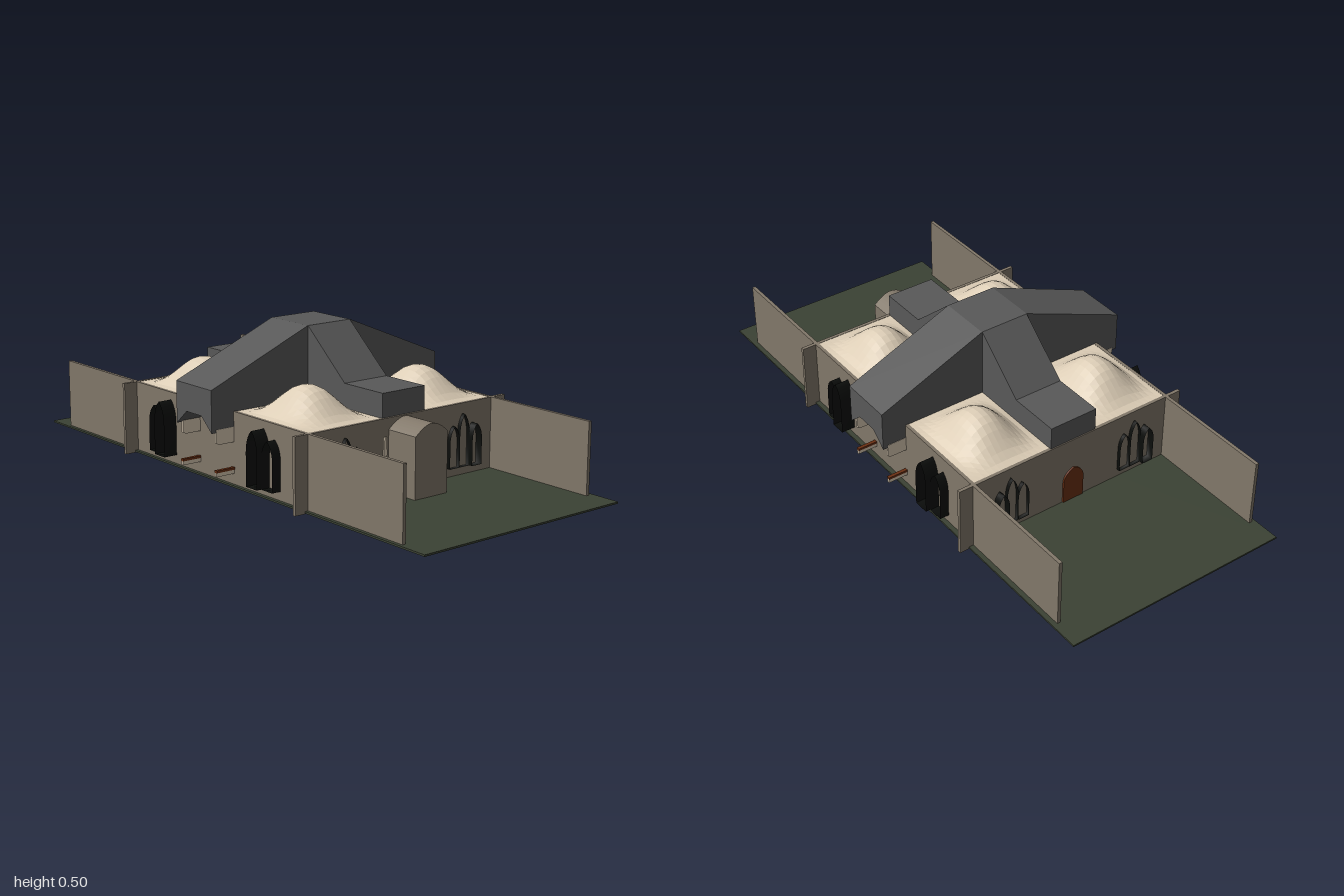
import * as THREE from 'three';

const mat = (name, color, extra = {}) => Object.assign(new THREE.MeshStandardMaterial({ color, ...extra }), { name });

export function createModel() {
  const model = new THREE.Group();
  model.name = 'vaultedHall';
  const stone = mat('wallStone', 0x82786a);
  const slate = mat('roofSlate', 0x595959);
  const cream = mat('paleStone', 0xdccdb6, { flatShading: true, side: THREE.DoubleSide });
  const grass = mat('darkGrass', 0x3b4234);
  const black = mat('blackFrame', 0x0b0d0b, { side: THREE.DoubleSide });
  const wood = mat('redWood', 0x6b3013);

  const add = (name, geometry, material, parent = model) => {
    const mesh = new THREE.Mesh(geometry, material);
    mesh.name = name;
    parent.add(mesh);
    return mesh;
  };
  // box given by its lower and upper limits on each axis
  const box = (name, material, x0, x1, y0, y1, z0, z1, parent) => {
    const mesh = add(name, new THREE.BoxGeometry(x1 - x0, y1 - y0, z1 - z0), material, parent);
    mesh.position.set((x0 + x1) / 2, (y0 + y1) / 2, (z0 + z1) / 2);
    return mesh;
  };
  const shapeOf = pts => new THREE.Shape(pts.map(p => new THREE.Vector2(...p)));
  // extrusion centred on z = 0
  const prism = (shape, depth) => new THREE.ExtrudeGeometry(shape, { depth, bevelEnabled: false, curveSegments: 8 })
    .translate(0, 0, -depth / 2);

  // ground and walls
  box('ground', grass, -1, 1, 0.014, 0.02, -0.41, 0.405);
  for (const s of [-1, 1]) {
    box('longWall', stone, -0.9, 0.895, 0.012, 0.26, s * 0.387 - 0.006, s * 0.387 + 0.006);
    box('crossWall', stone, s * 0.463 - 0.006, s * 0.463 + 0.006, 0.012, 0.26, -0.443, 0.443);
  }

  // crossing roofs: side profile, with a vaulted skirt below
  const naveProfile = shapeOf([[-0.465, 0.248], [0.462, 0.248], [0.462, 0.34], [0.28, 0.34],
    [0.095, 0.5], [-0.095, 0.5], [-0.28, 0.34], [-0.465, 0.34]]);
  const transeptProfile = shapeOf([[-0.48, 0.248], [0.48, 0.248], [0.48, 0.34],
    [0.09, 0.5], [-0.09, 0.5], [-0.48, 0.34]]);
  const roof = (name, profile, width, length, turn) => {
    const group = new THREE.Group();
    group.name = name;
    add('roofTop', prism(profile, width), slate, group);
    const h = width / 2;
    for (const s of [-1, 1]) {
      const skirt = shapeOf([[s * h, 0.2], [s * h, 0.248], [s * 0.04, 0.248]]);
      add('vaultSkirt', prism(skirt, length), slate, group).rotation.y = Math.PI / 2;
    }
    group.rotation.y = turn;
    model.add(group);
  };
  roof('naveRoof', naveProfile, 0.178, 0.925, 0);
  roof('transeptRoof', transeptProfile, 0.19, 0.96, Math.PI / 2);

  // four bell-shaped domes on square bays
  const bell = t => (1 + Math.cos(Math.PI * Math.min(1, Math.abs(t)) ** 1.15)) / 2;
  const domeGeometry = new THREE.PlaneGeometry(0.362, 0.294, 14, 14).rotateX(-Math.PI / 2);
  const p = domeGeometry.attributes.position;
  for (let i = 0; i < p.count; i++) {
    p.setY(i, 0.098 * bell(p.getX(i) / 0.181) * bell(p.getZ(i) / 0.147));
  }
  domeGeometry.computeVertexNormals();
  for (const sx of [-1, 1]) for (const sz of [-1, 1]) {
    add('dome', domeGeometry, cream).position.set(sx * 0.276, 0.259, sz * 0.236);
  }

  // pointed window: an open band following a lancet outline
  const lancetShape = (w, y0, y1) => {
    const s = new THREE.Shape();
    const spring = y0 + (y1 - y0) * 0.6;
    s.moveTo(-w / 2, y0);
    s.lineTo(w / 2, y0);
    s.lineTo(w / 2, spring);
    s.quadraticCurveTo(w / 2, (spring + y1) / 2 + 0.01, 0, y1);
    s.quadraticCurveTo(-w / 2, (spring + y1) / 2 + 0.01, -w / 2, spring);
    return s;
  };
  const band = (w, y0, y1, depth) => {
    const pts = lancetShape(w, y0, y1).getPoints(5);
    pts.push(pts[0].clone());
    const pos = [], idx = [];
    pts.forEach((q, i) => {
      pos.push(q.x, q.y, 0, q.x, q.y, depth);
      if (i) idx.push(2 * i - 2, 2 * i, 2 * i - 1, 2 * i - 1, 2 * i, 2 * i + 1);
    });
    const g = new THREE.BufferGeometry();
    g.setAttribute('position', new THREE.Float32BufferAttribute(pos, 3));
    g.setIndex(idx);
    g.computeVertexNormals();
    return g;
  };
  const makeWindow = (lancets, x, z, turn, flip) => {
    const group = new THREE.Group();
    group.name = 'window';
    for (const [off, w, top, depth] of lancets) {
      add('lancetFrame', band(w, 0.05, top, depth), black, group).position.x = off * flip;
    }
    group.position.set(x, 0, z);
    group.rotation.y = turn;
    model.add(group);
  };
  const pair = [[-0.028, 0.055, 0.235, 0.05], [0.028, 0.055, 0.21, 0.033]];
  const triple = [[-0.043, 0.042, 0.19, 0.014], [0, 0.042, 0.225, 0.014], [0.043, 0.042, 0.19, 0.028]];
  for (const sx of [-1, 1]) for (const sz of [-1, 1]) {
    makeWindow(pair, sx * 0.28, sz * 0.394, sz > 0 ? 0 : Math.PI, sx * sz);
    makeWindow(triple, sx * 0.47, sz * 0.25, sx * Math.PI / 2, -sx * sz);
  }

  // corbels and low brackets beneath the transept ends, jambs beside the porch
  const corbel = shapeOf([[0.39, 0.16], [0.45, 0.16], [0.462, 0.165], [0.462, 0.21], [0.39, 0.21]]);
  for (const sx of [-1, 1]) for (const sz of [-1, 1]) {
    const c = add('corbel', prism(corbel, 0.008), cream);
    c.rotation.y = -sz * Math.PI / 2;
    c.position.x = sx * 0.092;
    const [a, b] = sz > 0 ? [0.39, 0.464] : [-0.464, -0.39];
    box('lowBracket', cream, sx * 0.092 - 0.005, sx * 0.092 + 0.005, 0.056, 0.069, a, b);
    box('bracketCap', wood, sx * 0.092 - 0.006, sx * 0.092 + 0.006, 0.069, 0.077, a, b);
  }
  for (const s of [-1, 1]) {
    const z = s * 0.084;
    box('jambTop', cream, 0.468, 0.474, 0.16, 0.2, z - 0.005, z + 0.005);
    box('jamb', cream, 0.468, 0.473, 0.02, 0.16, z - 0.007, z + 0.007);
    box('jambBand', wood, 0.468, 0.476, 0.07, 0.08, z - 0.009, z + 0.009);
  }

  // entrance porch with a rounded top, steps and pit
  const porch = new THREE.Shape();
  porch.moveTo(-0.068, 0.018);
  porch.lineTo(0.068, 0.018);
  porch.lineTo(0.068, 0.222);
  porch.quadraticCurveTo(0.03, 0.256, 0, 0.256);
  porch.quadraticCurveTo(-0.03, 0.256, -0.068, 0.222);
  const porchMesh = add('porch', prism(porch, 0.13), stone);
  porchMesh.rotation.y = Math.PI / 2;
  porchMesh.position.x = 0.528;
  box('porchStep', wood, 0.47, 0.55, 0.018, 0.027, -0.078, 0.078);
  const pit = add('porchPit', prism(shapeOf([[-0.035, 0.015], [-0.008, 0.001], [0.008, 0.001], [0.035, 0.015]]), 0.1), slate);
  pit.rotation.y = Math.PI / 2;
  pit.position.x = 0.54;

  // pointed door in the opposite end
  const door = add('door', prism(lancetShape(0.08, 0.022, 0.15), 0.008), wood);
  door.rotation.y = -Math.PI / 2;
  door.position.x = -0.471;

  // inner columns and crossing pier footings
  const column = new THREE.CylinderGeometry(0.006, 0.006, 0.19, 6);
  for (const s of [-1, 1]) {
    for (let i = 0; i < 10; i++) {
      add('column', column, cream).position.set(-0.42 + i * 0.0933, 0.107, s * 0.088);
    }
    for (const z of [-0.34, -0.26, -0.18, 0.18, 0.26, 0.34]) {
      add('column', column, cream).position.set(s * 0.092, 0.107, z);
    }
    for (const z of [-0.145, 0.145]) {
      box('pierFooting', stone, s * 0.06 - 0.035, s * 0.06 + 0.035, 0.011, 0.018, z - 0.035, z + 0.035);
    }
  }
  return model;
}
